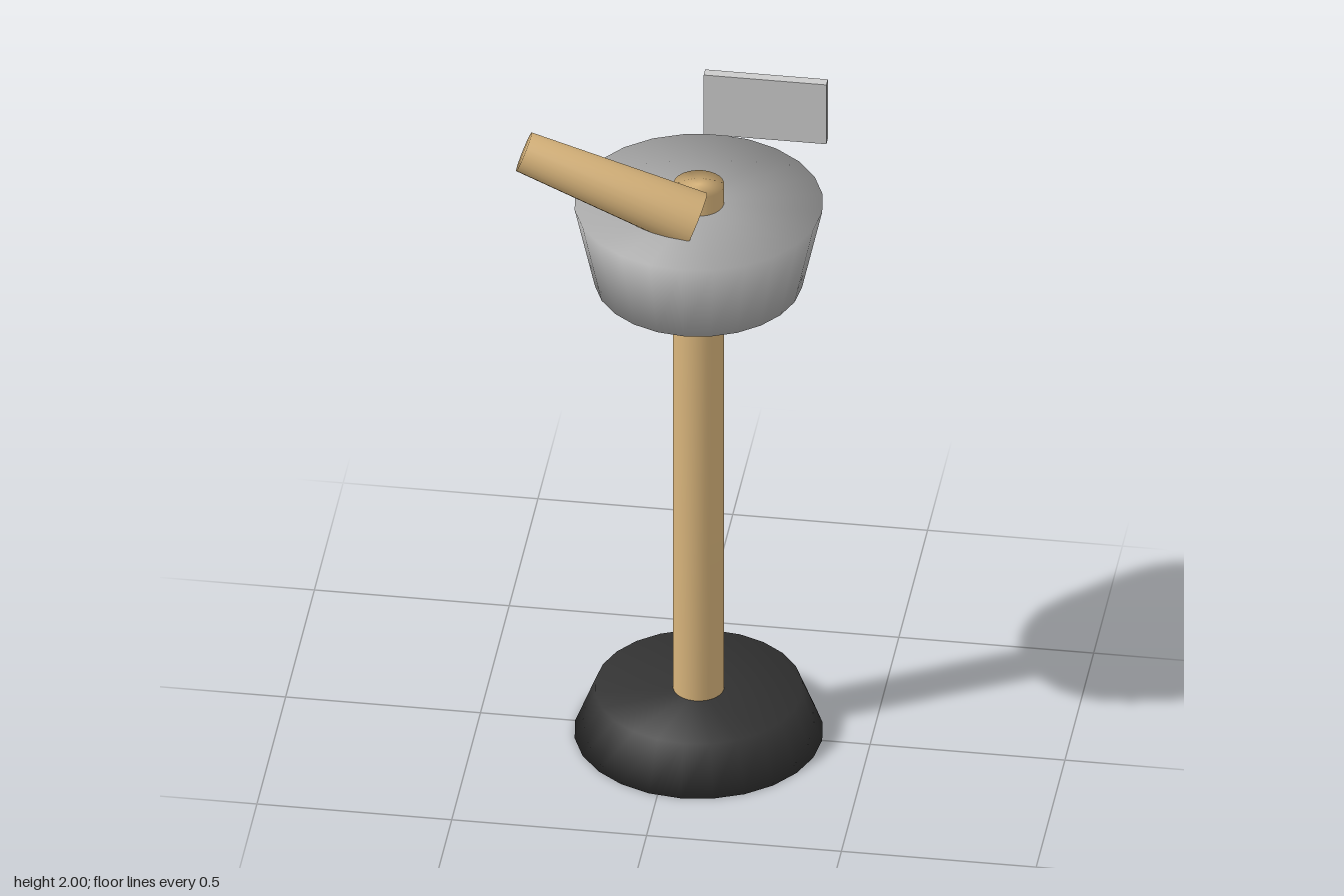
import * as THREE from 'three';
import { mergeVertices } from 'three/addons/utils/BufferGeometryUtils.js';

const material = (name, color) => {
  const m = new THREE.MeshStandardMaterial({ color });
  m.name = name;
  return m;
};

// Closed tapered cylinder from one point to another, smoothed over its rims
function taper(name, mat, from, to, r0, r1) {
  const a = new THREE.Vector3(...from), b = new THREE.Vector3(...to);
  const axis = b.clone().sub(a);
  let geo = new THREE.CylinderGeometry(r1, r0, axis.length(), 24);
  geo.deleteAttribute('uv');
  geo.deleteAttribute('normal');
  geo = mergeVertices(geo, 1e-5);
  geo.computeVertexNormals();
  const mesh = new THREE.Mesh(geo, mat);
  mesh.name = name;
  mesh.position.copy(a).add(b).multiplyScalar(0.5);
  mesh.quaternion.setFromUnitVectors(new THREE.Vector3(0, 1, 0), axis.normalize());
  return mesh;
}

export function createModel() {
  const wood = material('light wood', 0xd9b57c);
  const grey = material('mid grey', 0xaaaaaa);
  const black = material('charcoal', 0x333333);
  const pale = material('pale grey', 0xcccccc);
  const group = new THREE.Group();
  group.name = 'postWithBasin';
  const x = 0.06; // the post stands a little left of centre

  group.add(
    taper('base', black, [x, 0, 0], [x, 0.132, 0], 0.317, 0.265),
    taper('post', wood, [x, 0.02, 0], [x, 1.66, 0], 0.065, 0.065),
    taper('basin', grey, [x, 1.37, 0], [x, 1.605, 0], 0.265, 0.317),
    // Leaning arm, thicker where it rests in the basin
    taper('arm', wood, [0.069, 1.62, 0.108], [-0.373, 1.785, 0.105], 0.076, 0.053),
  );

  // Floating sign plate
  const plate = new THREE.Mesh(new THREE.BoxGeometry(0.315, 0.18, 0.026), pale);
  plate.name = 'signPlate';
  plate.position.set(0.232, 1.91, -0.002);
  group.add(plate);
  return group;
}
